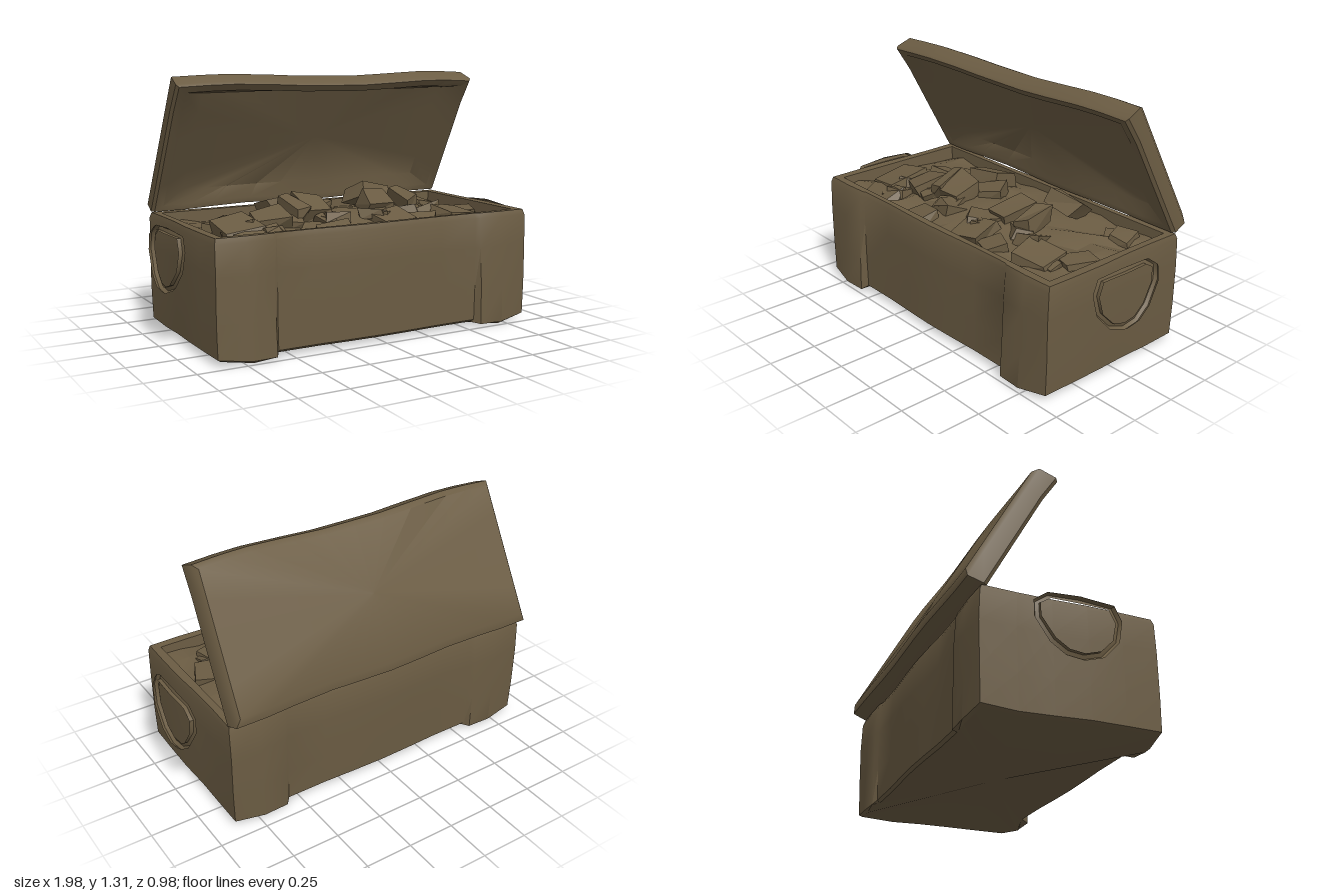
import * as THREE from 'three';
import { toCreasedNormals } from 'three/addons/utils/BufferGeometryUtils.js';

const wood = new THREE.MeshStandardMaterial({ color: 0x6b5c43 });
wood.name = 'weathered brown';

let seed = 7;
const rand = () => ((seed = (seed * 16807) % 2147483647) / 2147483647);
const jitter = (a) => (rand() - 0.5) * 2 * a;

function mesh(geometry, name, crease = 0.7) {
  const m = new THREE.Mesh(toCreasedNormals(geometry, crease), wood);
  m.name = name;
  return m;
}

// fractions along the long sides; doubled stations make the corner-plate steps
const stationsX = [-1, -0.82, -0.67, -0.645, -0.4, -0.2, 0, 0.2, 0.4, 0.645, 0.67, 0.82];

// points of one rectangular ring [halfX, zFront, zBack, y], counter-clockwise from above
function ringPoints([hx, zf, zb, y]) {
  const pts = [];
  for (let i = 0; i < 5; i++) pts.push([hx, y, zf + (zb - zf) * i / 5]);
  for (const s of stationsX) pts.push([-hx * s, y, zb]);
  for (let i = 0; i < 5; i++) pts.push([-hx, y, zb + (zf - zb) * i / 5]);
  for (const s of stationsX) pts.push([hx * s, y, zf]);
  return pts;
}

// skin through the rings, closed with a cap at both ends
function loft(rings, warp) {
  const pos = [], index = [];
  rings.forEach((r, k) => ringPoints(r).forEach((p) => pos.push(...warp(p, k))));
  const n = pos.length / 3 / rings.length;
  for (let k = 0; k < rings.length - 1; k++) {
    for (let i = 0; i < n; i++) {
      const j = (i + 1) % n;
      const a = k * n + i, b = k * n + j, c = b + n, d = a + n;
      index.push(a, b, c, a, c, d);
    }
  }
  for (const [k, flip] of [[0, true], [rings.length - 1, false]]) {
    const [, zf, zb, y] = rings[k];
    const centre = pos.length / 3;
    pos.push(...warp([0, y, (zf + zb) / 2], k));
    for (let i = 0; i < n; i++) {
      const a = k * n + i, b = k * n + (i + 1) % n;
      index.push(centre, flip ? b : a, flip ? a : b);
    }
  }
  const g = new THREE.BufferGeometry();
  g.setAttribute('position', new THREE.Float32BufferAttribute(pos, 3));
  g.setIndex(index);
  return g;
}

// open box with slightly dented walls and protruding corner plates
function makeBox() {
  const rings = [
    [0.86, 0.435, -0.4, 0.022], [0.88, 0.45, -0.415, 0.035], [0.885, 0.45, -0.42, 0.2],
    [0.885, 0.45, -0.425, 0.42], [0.885, 0.445, -0.42, 0.57], [0.878, 0.435, -0.41, 0.597],
    [0.835, 0.4, -0.38, 0.595], [0.825, 0.395, -0.375, 0.47],
  ];
  return mesh(loft(rings, ([x, y, z], k) => {
    const ax = Math.abs(x), low = Math.max(0, 1 - y / 0.6);
    if (k < 6) {
      if (Math.abs(z) > 0.39) {
        const plate = ax > 0.58 && ax < 0.8 ? 1 : 0;
        const side = Math.sign(z);
        z += side * (plate * (0.008 + 0.028 * low * (side > 0 ? 1 : 0.5)) + 0.006 * Math.cos(x * 7));
        if (k < 2 && plate) y -= 0.02;
      } else if (ax > 0.8) x += Math.sign(x) * 0.006 * Math.sin(z * 9);
      if (k < 2) y -= 0.012 * Math.max(0, 1 - Math.abs(z + 0.2) * 5);
    }
    return [x, y, z];
  }), 'chestBox');
}

// lid: hollow tray built face up, then swung open; z runs from its free edge to the hinge
function makeLid() {
  const rings = [
    [0.85, -0.01, -0.705, -0.112], [0.87, 0.03, -0.735, -0.088], [0.878, 0.018, -0.745, -0.01],
    [0.865, 0.01, -0.738, 0.006], [0.82, -0.02, -0.7, 0], [0.71, -0.08, -0.665, -0.045],
  ];
  const lid = mesh(loft(rings, ([x, y, z], k) => {
    if (k < 5 && z < -0.69) {
      z -= 0.01 * Math.cos((Math.abs(x) - 0.6) * 6);
      if (k > 1) y += 0.012;
    }
    if (k < 5 && z > -0.03) z += 0.006 * Math.cos(x * 8);
    x *= 1 + 0.016 * (z + 0.37);
    return [x, y + 0.004 * Math.sin(x * 6), z];
  }), 'lid');
  lid.rotation.x = 2.071;
  lid.position.set(0, 0.62, -0.39);
  return lid;
}

// D-shaped ring handle beside each end, as [z, y] corners
function makeHandle(side) {
  const path = [[0.19, 0.57], [0.03, 0.575], [-0.12, 0.57], [-0.185, 0.525], [-0.185, 0.45], [-0.12, 0.345],
    [-0.05, 0.295], [0.03, 0.285], [0.12, 0.315], [0.2, 0.4], [0.222, 0.5]];
  const n = path.length, pos = [], index = [], sides = 5;
  const r = 0.017;
  path.forEach(([z, y]) => {
    const dz = z - 0.02, dy = y - 0.45, len = Math.hypot(dz, dy);
    const cx = 0.958 + (0.57 - y) * 0.055 - Math.abs(dz) * 0.03;
    for (let s = 0; s < sides; s++) {
      const a = s / sides * Math.PI * 2;
      const out = Math.cos(a) * r;
      pos.push(side * (cx + Math.sin(a) * r), y + dy / len * out, z + dz / len * out);
    }
  });
  for (let i = 0; i < n; i++) {
    for (let s = 0; s < sides; s++) {
      const a = i * sides + s, b = i * sides + (s + 1) % sides;
      const d = ((i + 1) % n) * sides + s, c = ((i + 1) % n) * sides + (s + 1) % sides;
      if (side > 0) index.push(a, c, b, a, d, c);
      else index.push(a, b, c, a, c, d);
    }
  }
  const g = new THREE.BufferGeometry();
  g.setAttribute('position', new THREE.Float32BufferAttribute(pos, 3));
  g.setIndex(index);
  return mesh(g, side > 0 ? 'leftHandle' : 'rightHandle', 0.9);
}

const fillHeight = (x, z) => 0.535 + 0.075 * Math.exp(-((x / 0.6) ** 2) - ((z - 0.02) / 0.28) ** 2);

// rubble bed inside the box
function makeBed() {
  const g = new THREE.PlaneGeometry(1.66, 0.78, 16, 8).rotateX(-Math.PI / 2);
  const p = g.attributes.position;
  for (let i = 0; i < p.count; i++) {
    const x = p.getX(i), z = p.getZ(i) + 0.01;
    p.setXYZ(i, x, fillHeight(x, z) + jitter(0.018), z);
  }
  return mesh(g, 'rubbleBed', 0.3);
}

// irregular block: a box whose eight corners are nudged
function makeRock(x, y, z, w, h, d, tilt, turn) {
  const g = new THREE.BoxGeometry(w, h, d);
  const nudges = Array.from({ length: 8 }, () => [jitter(w * 0.14), jitter(h * 0.15), jitter(d * 0.14)]);
  const p = g.attributes.position;
  for (let i = 0; i < p.count; i++) {
    const px = p.getX(i), py = p.getY(i), pz = p.getZ(i);
    const q = nudges[(px > 0 ? 1 : 0) + (py > 0 ? 2 : 0) + (pz > 0 ? 4 : 0)];
    p.setXYZ(i, px + q[0], py + q[1], pz + q[2]);
  }
  const m = mesh(g, 'rock', 0.2);
  m.position.set(x, y, z);
  m.rotation.set(tilt, turn, jitter(0.2));
  return m;
}

function makeRubble() {
  const rubble = new THREE.Group();
  rubble.name = 'rubble';
  rubble.add(makeBed());
  // large blocks: x, y, z, width, height, depth, tilt, turn
  const big = [
    [-0.64, 0.555, 0.15, 0.18, 0.1, 0.22, 0.15, 0.1], [-0.45, 0.585, 0.11, 0.17, 0.09, 0.17, 0.2, -0.2],
    [-0.3, 0.645, 0.08, 0.07, 0.08, 0.17, 0.3, 0.15], [-0.19, 0.63, 0.08, 0.16, 0.09, 0.19, 0.3, -0.1],
    [0.2, 0.625, 0.04, 0.13, 0.08, 0.19, 0.3, -0.25], [0.36, 0.635, 0.05, 0.08, 0.09, 0.18, 0.25, 0.1],
    [0.3, 0.64, -0.22, 0.2, 0.08, 0.16, -0.5, 0.3], [-0.25, 0.61, -0.2, 0.2, 0.08, 0.15, -0.3, 0.2],
    [0.57, 0.55, 0.22, 0.19, 0.08, 0.17, 0.2, 0.35], [0.17, 0.565, 0.28, 0.17, 0.08, 0.16, 0.35, 0.15],
    [0.34, 0.55, 0.3, 0.13, 0.08, 0.13, 0.3, -0.5], [-0.2, 0.55, 0.32, 0.2, 0.07, 0.12, 0.3, -0.3],
    [-0.6, 0.54, 0.31, 0.26, 0.06, 0.13, 0.3, 0.25], [0.72, 0.54, 0.1, 0.12, 0.07, 0.16, 0, -0.4],
  ];
  big.forEach((b) => rubble.add(makeRock(...b)));
  // small scattered pieces
  for (let i = 0; i < 26; i++) {
    const x = jitter(0.7), z = jitter(0.31) + 0.01, s = 0.07 + rand() * 0.07;
    rubble.add(makeRock(x, fillHeight(x, z), z, s, s * 0.5, s, jitter(0.4), jitter(1.5)));
  }
  return rubble;
}

export function createModel() {
  const model = new THREE.Group();
  model.name = 'openChest';
  model.add(makeBox(), makeLid(), makeRubble(), makeHandle(1), makeHandle(-1));
  return model;
}
